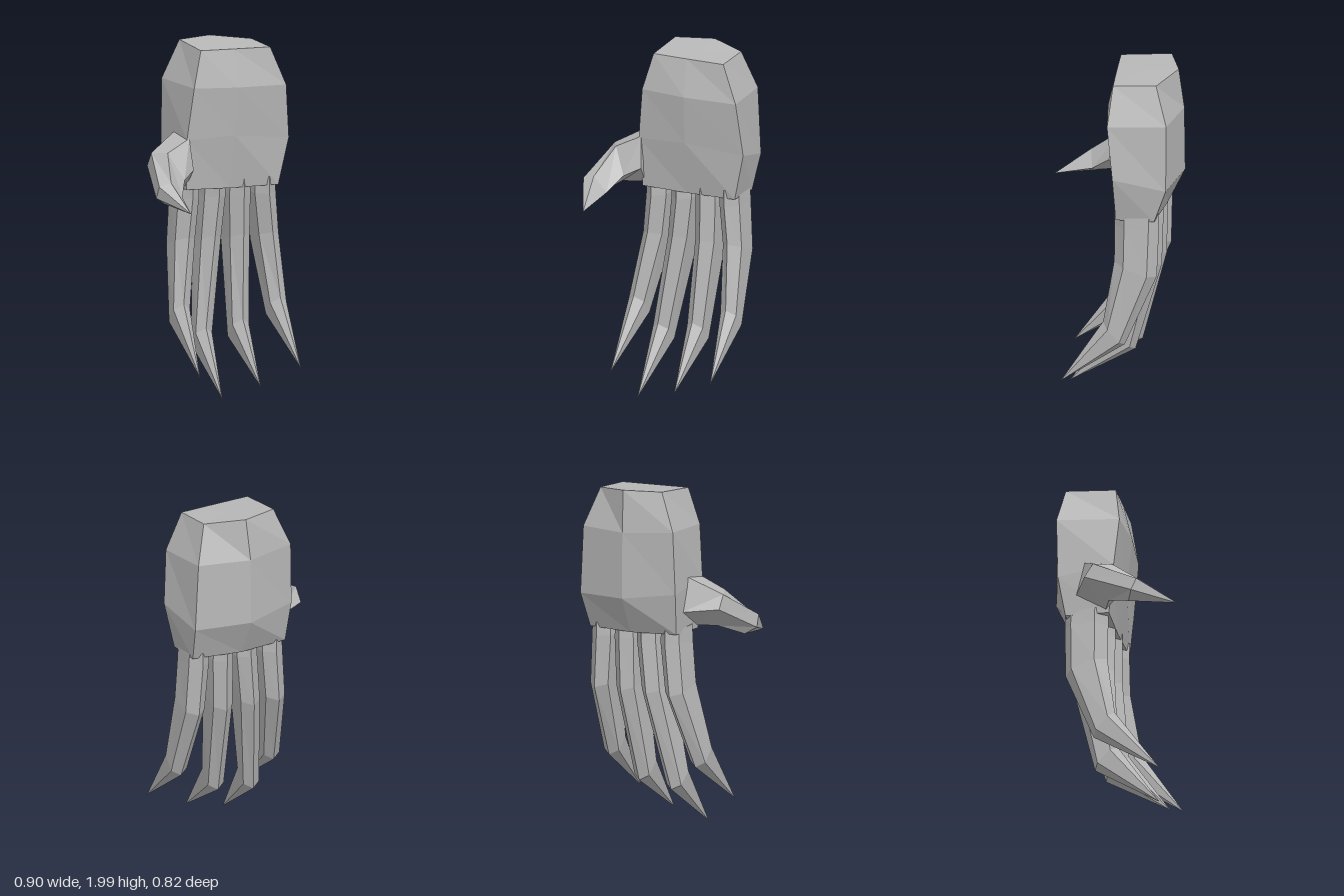
import * as THREE from 'three';

const skin = new THREE.MeshStandardMaterial({ color: 0xb8b8b8, flatShading: true });
skin.name = 'grey skin';

// Closed faceted skin through matching rings of points; both ends fan to their centre
function loft(name, rings) {
  const pos = [];
  const tri = (a, b, c) => pos.push(...a, ...b, ...c);
  const centre = r => [0, 1, 2].map(k => r.reduce((s, p) => s + p[k], 0) / r.length);
  const n = rings[0].length;
  const first = rings[0], last = rings[rings.length - 1];
  const c0 = centre(first), c1 = centre(last);
  for (let i = 0; i < n; i++) {
    const j = (i + 1) % n;
    for (let r = 0; r < rings.length - 1; r++) {
      const a = rings[r], b = rings[r + 1];
      if (b.length === 1) tri(a[i], a[j], b[0]);
      else { tri(a[i], a[j], b[j]); tri(a[i], b[j], b[i]); }
    }
    tri(c0, first[j], first[i]);
    if (last.length > 1) tri(c1, last[i], last[j]);
  }
  // Turn the faces outward if the enclosed volume is negative
  const v = k => new THREE.Vector3().fromArray(pos, k);
  let volume = 0;
  for (let k = 0; k < pos.length; k += 9) volume += v(k).dot(v(k + 3).cross(v(k + 6)));
  if (volume < 0) {
    for (let k = 0; k < pos.length; k += 9) {
      for (let m = 0; m < 3; m++) [pos[k + 3 + m], pos[k + 6 + m]] = [pos[k + 6 + m], pos[k + 3 + m]];
    }
  }
  const g = new THREE.BufferGeometry();
  g.setAttribute('position', new THREE.Float32BufferAttribute(pos, 3));
  g.computeVertexNormals();
  const mesh = new THREE.Mesh(g, skin);
  mesh.name = name;
  return mesh;
}

// Six-sided finger section with a ridge at the front [y, z] and another at the back [y, z]
function section(x, half, front, back) {
  const at = (dx, t) => [x + dx * half,
    front[0] + (back[0] - front[0]) * t, front[1] + (back[1] - front[1]) * t];
  return [at(0, 0), at(1, 0.25), at(1, 0.8), at(0, 1), at(-1, 0.8), at(-1, 0.25)];
}

export function createModel() {
  const hand = new THREE.Group();
  hand.name = 'clawedHand';

  // Palm and wrist: front left, middle, right, then back right, middle, left
  hand.add(loft('palm', [
    [[-0.105, 1.98, -0.01], [0.1, 1.975, -0.02], [0.33, 1.97, -0.035],
      [0.315, 1.98, -0.28], [0.095, 2, -0.375], [-0.12, 2, -0.3]],
    [[-0.16, 1.77, 0.025], [0.11, 1.76, 0.03], [0.42, 1.75, -0.015],
      [0.385, 1.76, -0.35], [0.08, 1.76, -0.405], [-0.215, 1.78, -0.33]],
    [[-0.195, 1.47, 0], [0.1, 1.48, 0], [0.45, 1.44, -0.05],
      [0.405, 1.37, -0.35], [0.08, 1.38, -0.41], [-0.225, 1.42, -0.32]],
    [[-0.185, 1.18, -0.03], [0.09, 1.17, -0.05], [0.39, 1.17, -0.06],
      [0.385, 1.17, -0.28], [0.09, 1.17, -0.31], [-0.205, 1.18, -0.28]],
  ]));

  // Fingers: centre x at root, knuckle and claw joint, joint front and back [y, z], tip
  const fingers = [
    ['outerFinger', [-0.14, -0.163, -0.22], [0.53, 0.015], [0.39, -0.11], [-0.228, 0.15, 0.28]],
    ['longFinger', [0.022, -0.003, -0.075], [0.38, -0.005], [0.25, -0.14], [-0.075, 0.01, 0.24]],
    ['middleFinger', [0.175, 0.172, 0.148], [0.42, 0], [0.28, -0.135], [0.16, 0.065, 0.24]],
    ['innerFinger', [0.33, 0.35, 0.372], [0.53, 0.015], [0.4, -0.11], [0.4, 0.16, 0.255]],
  ];
  for (const [name, x, front, back, tip] of fingers) {
    hand.add(loft(name, [
      section(x[0], 0.06, [1.22, -0.045], [1.2, -0.3]),
      section(x[0], 0.064, [1.12, -0.045], [1.12, -0.3]),
      section(x[1], 0.06, [0.9, -0.045], [0.82, -0.29]),
      section(x[2], 0.05, front, back),
      [tip],
    ]));
  }

  // Thumb curving out and forward to a point
  hand.add(loft('thumb', [
    [[-0.2, 1.5, -0.17], [-0.18, 1.48, 0], [-0.165, 1.3, 0.03], [-0.18, 1.2, -0.05], [-0.2, 1.3, -0.22]],
    [[-0.385, 1.4, -0.07], [-0.325, 1.41, 0.03], [-0.245, 1.26, 0.09], [-0.3, 1.2, 0], [-0.39, 1.32, -0.12]],
    [[-0.445, 1.25, 0.2], [-0.375, 1.27, 0.205], [-0.3, 1.18, 0.19], [-0.39, 1.14, 0.14], [-0.452, 1.18, 0.17]],
    [[-0.335, 1.12, 0.41]],
  ]));

  return hand;
}
